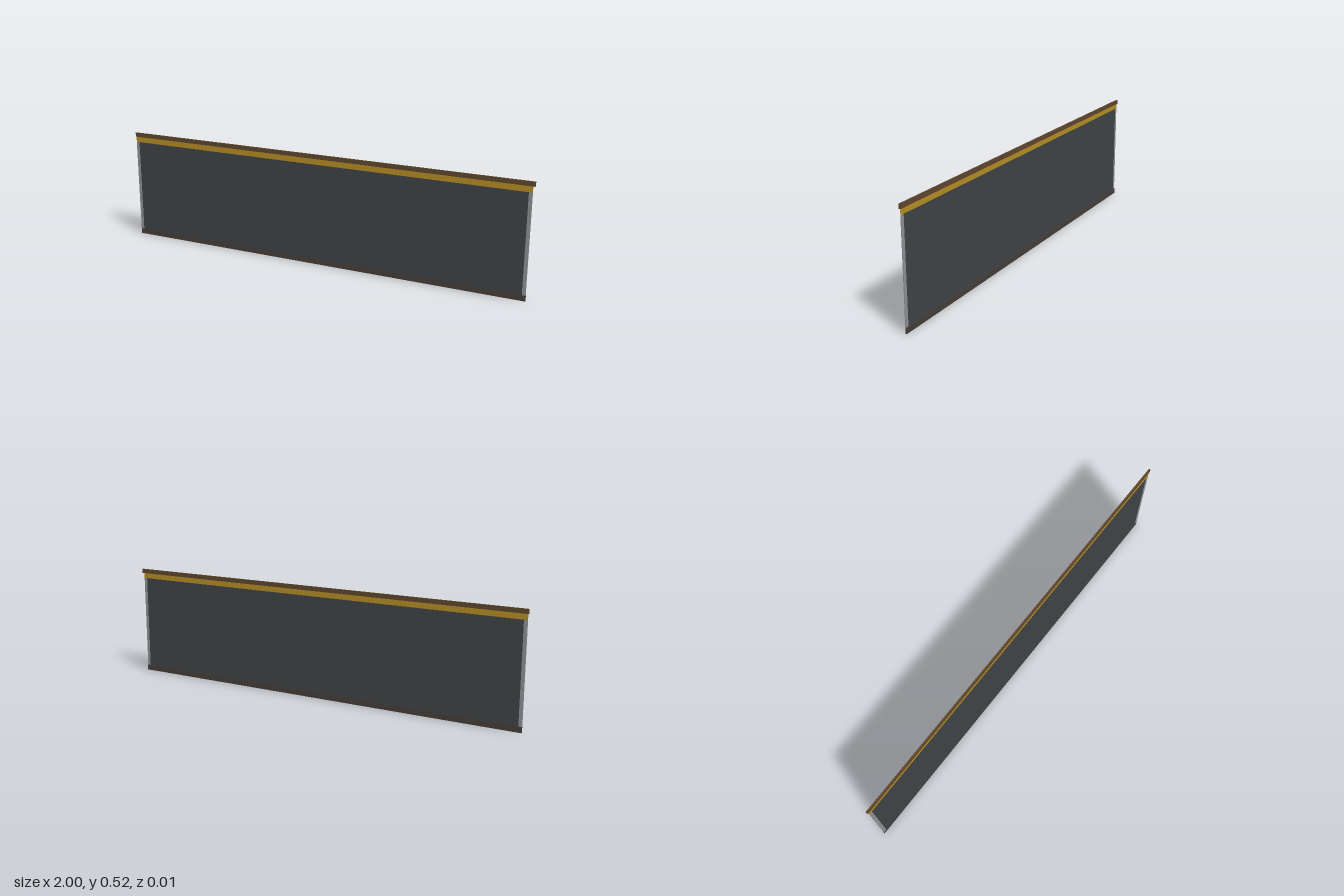
import * as THREE from 'three';

export function createModel() {
  const group = new THREE.Group();

  const add = (name, geometry, color, x, y, z) => {
    const material = new THREE.MeshStandardMaterial({ color });
    if (geometry.type === 'PlaneGeometry') material.side = THREE.DoubleSide;
    const mesh = new THREE.Mesh(geometry, material);
    mesh.name = name;
    mesh.position.set(x, y, z);
    group.add(mesh);
  };

  // Box given by its limits on each axis
  const bar = (name, color, [x0, x1], [y0, y1], [z0, z1]) =>
    add(name, new THREE.BoxGeometry(x1 - x0, y1 - y0, z1 - z0), color,
      (x0 + x1) / 2, (y0 + y1) / 2, (z0 + z1) / 2);

  const left = -0.996, right = 0.991;

  // Top rail and bottom rail
  bar('topRail', 0x5c452c, [-1, 1], [0.503, 0.523], [-0.004, 0.004]);
  bar('bottomRail', 0x453d39, [left, right], [0, 0.026], [-0.002, 0.004]);

  // Dark infill panel
  bar('panel', 0x3d4244, [left + 0.016, right - 0.016], [0.026, 0.477], [0.001, 0.0035]);

  // Metal strips up both ends
  for (const [name, x] of [['rightEndStrip', left], ['leftEndStrip', right - 0.016]]) {
    bar(name, 0x8c9094, [x, x + 0.016], [0.026, 0.477], [0.0005, 0.0042]);
  }

  // Yellow trim: a thin sheet on each face, open at the ends
  for (const [name, z] of [['frontTrim', 0.0038], ['backTrim', 0.0008]]) {
    add(name, new THREE.PlaneGeometry(right - left, 0.026), 0xb38b24, (left + right) / 2, 0.49, z);
  }

  return group;
}
